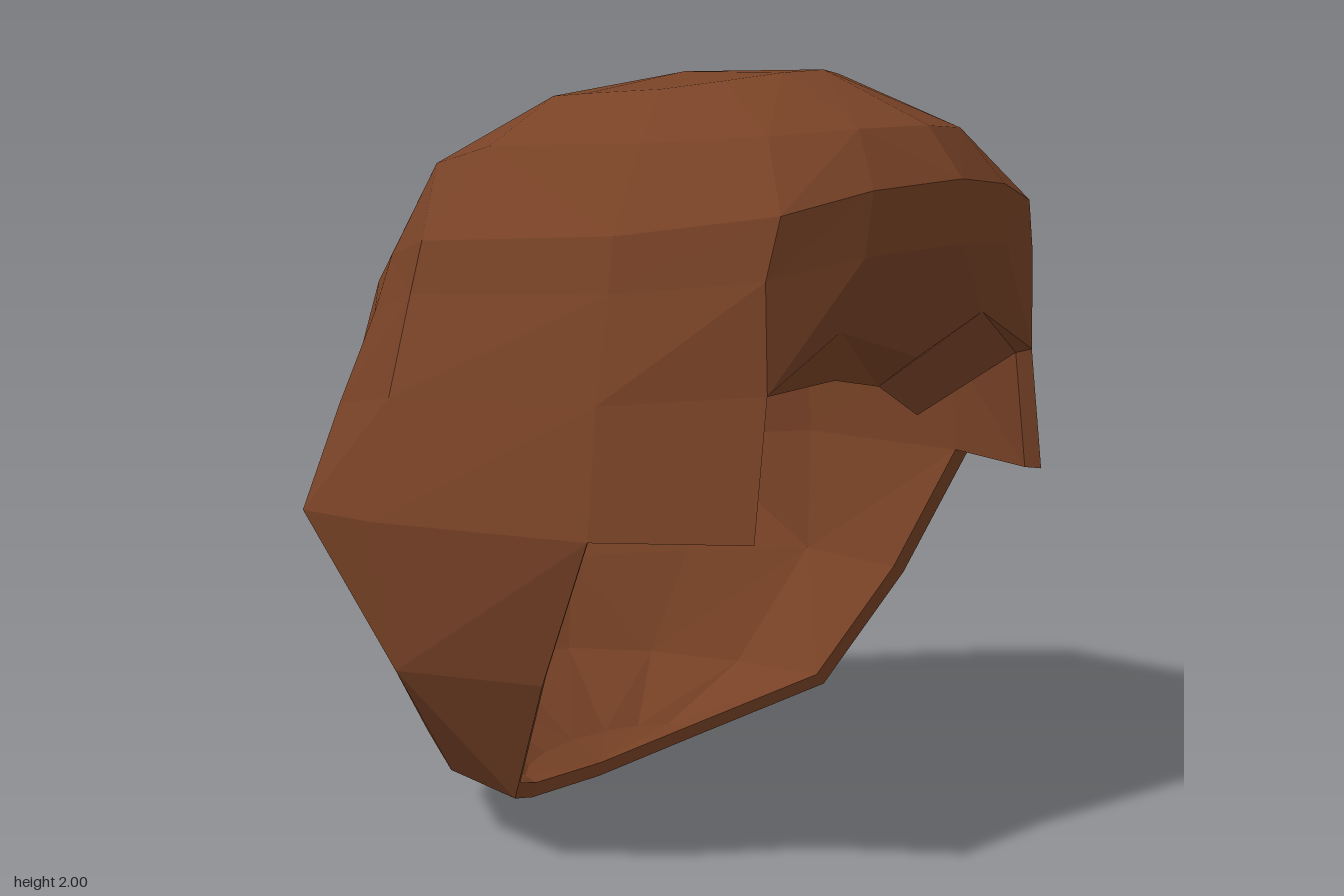
import * as THREE from 'three';

// Tilted half-rings from crown to nape.
// yF, yS, yB: height at front, side, back; wL, wR: half width on +x, -x
// zF, zC, zB: depth at front, widest point, back; cap, slope: limit of the front
// aF, aS: angles of the fringe corner and of the sideburn's rear edge
// pinch: how far the rear diagonal is drawn in
const RINGS = [
  { yF: 2.00, yS: 2.00, yB: 2.00, wL: 0, wR: 0, zF: 0.10, zC: 0.10, zB: 0.10, cap: 1, slope: 0, aF: 45, aS: 66, pinch: 1 },
  { yF: 2.00, yS: 1.94, yB: 1.92, wL: 0.34, wR: 0.34, zF: 0.54, zC: 0.06, zB: -0.27, cap: 1, slope: 0, aF: 45, aS: 66, pinch: 1 },
  { yF: 1.86, yS: 1.81, yB: 1.64, wL: 0.65, wR: 0.64, zF: 0.95, zC: 0.02, zB: -0.66, cap: 0.85, slope: 0.2, aF: 45, aS: 66, pinch: 0.95 },
  { yF: 1.73, yS: 1.58, yB: 1.38, wL: 0.90, wR: 0.82, zF: 1.15, zC: -0.04, zB: -0.83, cap: 0.95, slope: 0.2, aF: 45, aS: 66, pinch: 0.87 },
  { yF: 1.57, yS: 1.45, yB: 1.18, wL: 0.94, wR: 0.85, zF: 1.18, zC: -0.05, zB: -0.89, cap: 0.95, slope: 0.2, aF: 47, aS: 66, pinch: 0.88 },
  { yF: 1.28, yS: 1.20, yB: 0.97, wL: 0.98, wR: 0.93, zF: 1.18, zC: -0.06, zB: -0.94, cap: 0.83, slope: 0.04, aF: 43, aS: 65, pinch: 0.92 },
  { yF: 0.91, yS: 0.90, yB: 0.78, wL: 1.00, wR: 1.00, zF: 1.19, zC: -0.07, zB: -0.90, cap: 1, slope: 0, aF: 45, aS: 64, pinch: 1 },
  { yF: 0.52, yS: 0.52, yB: 0.50, wL: 0.95, wR: 0.95, zF: 0.73, zC: -0.06, zB: -0.80, cap: 1, slope: 0, aF: 45, aS: 63, pinch: 0.86 },
  { yF: 0.17, yS: 0.17, yB: 0.26, wL: 0.72, wR: 0.72, zF: 0.10, zC: 0.10, zB: -0.60, cap: 1, slope: 0, aF: 45, aS: 90, pinch: 1 },
  { yF: 0.04, yS: 0.04, yB: 0.05, wL: 0.37, wR: 0.37, zF: -0.14, zC: -0.14, zB: -0.31, cap: 1, slope: 0, aF: 45, aS: 90, pinch: 1 },
  { yF: 0.00, yS: 0.00, yB: 0.00, wL: 0, wR: 0, zF: -0.20, zC: -0.20, zB: -0.20, cap: 1, slope: 0, aF: 45, aS: 90, pinch: 1 },
];
const HALF = 7;        // columns from front centre to back centre
const CORNER = 2;      // column of the fringe corner
const BURN = 3;        // column of the sideburn's rear edge
const FRINGE_ROW = 5;  // the face is open below this ring
const BURN_ROW = 6;    // the sideburns end at this ring
const CENTRE = new THREE.Vector3(0, 1, -0.08);
// inner tips of the uneven fringe, by column
const TIPS = { '-1': [-0.26, 1.24, 0.75], '0': [-0.02, 1.2, 0.73], '1': [0.21, 1.1, 0.71] };

// Point on the outside of the hair at ring i, column j (-HALF..HALF)
function outerPoint(i, j) {
  const r = RINGS[i], k = Math.abs(j);
  const deg = k <= CORNER ? r.aF * k / CORNER : r.aS + (180 - r.aS) * (k - BURN) / (HALF - BURN);
  const t = THREE.MathUtils.degToRad(deg), c = Math.cos(t), f = Math.abs(c);
  const draw = k === 5 ? r.pinch : k === 6 ? (1 + r.pinch) / 2 : 1;
  const x = Math.sin(t) * (j > 0 ? r.wL : -r.wR) * draw;
  let y = r.yS + ((c > 0 ? r.yF : r.yB) - r.yS) * f * f;
  let z = r.zC + ((c > 0 ? r.zF : r.zB) - r.zC) * f * draw;
  if (k <= CORNER) z = Math.min(z, r.cap - r.slope * Math.abs(x));
  if (i === FRINGE_ROW && k === 1) y += 0.1; // parted fringe
  return new THREE.Vector3(x, y, z);
}

// Matching point on the lining
function innerPoint(i, j) {
  if (i === FRINGE_ROW && Math.abs(j) < CORNER) return new THREE.Vector3(...TIPS[j]);
  return outerPoint(i, j).sub(CENTRE).multiplyScalar(0.96).add(CENTRE);
}

// Two triangles, split along the diagonal that bulges outwards
function addQuad(out, a, b, c, d) {
  const reach = (p, q) => p.clone().lerp(q, 0.5).distanceTo(CENTRE);
  const faces = reach(a, c) >= reach(b, d) ? [[a, b, c], [a, c, d]] : [[a, b, d], [b, c, d]];
  for (const [p, q, r] of faces) {
    const area = q.clone().sub(p).cross(r.clone().sub(p)).length();
    if (area > 1e-6) for (const v of [p, q, r]) out.push(v.x, v.y, v.z);
  }
}

export function createModel() {
  const outer = [], inner = [], rim = [];
  const edges = new Map();

  for (let i = 0; i < RINGS.length - 1; i++) {
    // leave the face opening free, wider below the sideburns
    const open = i >= BURN_ROW ? BURN : i >= FRINGE_ROW ? CORNER : 0;
    for (let j = -HALF; j < HALF; j++) {
      if (j >= -open && j < open) continue;
      const cell = [[i, j], [i + 1, j], [i + 1, j + 1], [i, j + 1]];
      addQuad(outer, ...cell.map(p => outerPoint(...p)));
      addQuad(inner, ...cell.map(p => innerPoint(...p)).reverse());
      // collect edges; those used once form the hem
      cell.forEach((p, n) => {
        const q = cell[(n + 1) % 4];
        const name = v => v[0] + ':' + (v[1] === HALF ? -HALF : v[1]);
        const back = name(q) + '|' + name(p);
        if (edges.has(back)) edges.delete(back);
        else edges.set(name(p) + '|' + name(q), [p, q]);
      });
    }
  }
  // hem joining the outside to the lining
  for (const [p, q] of edges.values()) {
    const a = outerPoint(...p), b = outerPoint(...q);
    if (a.distanceTo(b) < 1e-4) continue;
    addQuad(rim, b, a, innerPoint(...p), innerPoint(...q));
  }

  const material = new THREE.MeshStandardMaterial({ color: 0x784226, flatShading: true });
  const group = new THREE.Group();
  group.name = 'hair';
  for (const [name, data] of [['outerHair', outer], ['innerLining', inner], ['hem', rim]]) {
    const geometry = new THREE.BufferGeometry();
    geometry.setAttribute('position', new THREE.Float32BufferAttribute(data, 3));
    geometry.computeVertexNormals();
    const mesh = new THREE.Mesh(geometry, material);
    mesh.name = name;
    group.add(mesh);
  }
  return group;
}
